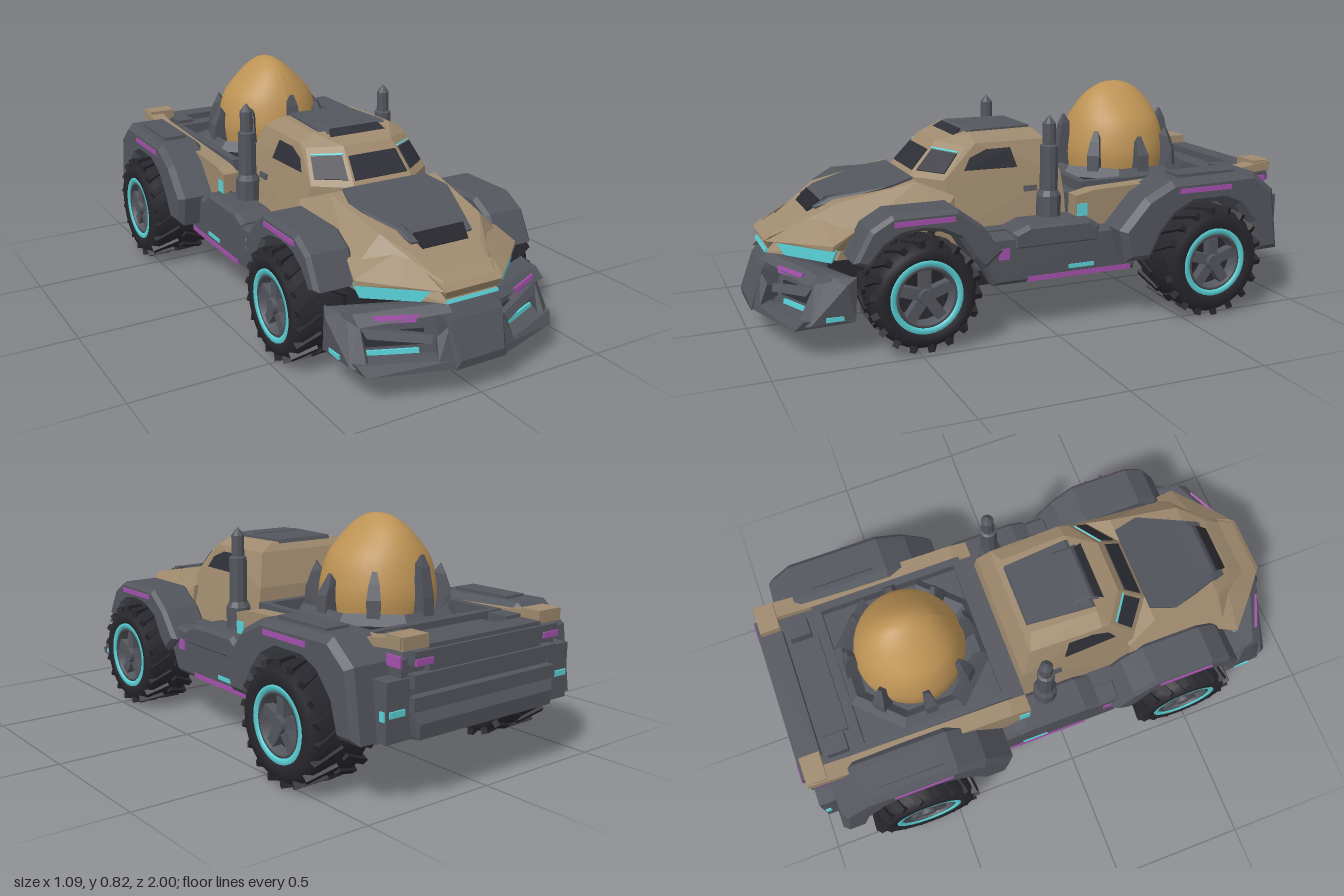
import * as THREE from 'three';
import { ConvexGeometry } from 'three/addons/geometries/ConvexGeometry.js';

const paint = (name, color) => Object.assign(new THREE.MeshStandardMaterial({ color }), { name });

export function createModel() {
  const tan = paint('desert tan', 0x9f8a6e), grey = paint('armour grey', 0x54565e);
  const dark = paint('dark glass', 0x2f2f38), rubber = paint('tyre black', 0x28272d);
  const cyan = paint('cyan light', 0x5ad2d8), purple = paint('purple trim', 0xa450ac);
  const gold = paint('golden dome', 0xbd9355);
  const model = new THREE.Group();
  model.name = 'armouredTruck';

  const add = (name, geo, mat, parent = model) => {
    const m = new THREE.Mesh(geo, mat);
    m.name = name;
    parent.add(m);
    return m;
  };
  const V = p => new THREE.Vector3(...p);
  const flip = (pts, s) => pts.map(([x, y, z]) => [x * s, y, z]);
  const hull = (name, mat, pts) => add(name, new ConvexGeometry(pts.map(V)), mat);
  // one solid across the centre line, from its left-hand points
  const centre = (name, mat, pts) => hull(name, mat, [...pts, ...flip(pts, -1)]);
  // a left and a right copy
  const pair = (name, mat, pts) => [1, -1].forEach(s => hull(name, mat, flip(pts, s)));
  // thin plate centred on a polygon
  const thin = pts => {
    const [a, b, c] = pts.map(V);
    const n = b.sub(a).cross(c.sub(a)).setLength(0.0045).toArray();
    return [1, -1].flatMap(k => pts.map(p => p.map((v, i) => v + n[i] * k)));
  };
  const plate = (name, mat, pts) => hull(name, mat, thin(pts));
  const plates = (name, mat, pts) => pair(name, mat, thin(pts));
  const box = (name, mat, x0, x1, y0, y1, z0, z1) => {
    const g = new THREE.BoxGeometry(x1 - x0, y1 - y0, z1 - z0);
    return add(name, g.translate((x0 + x1) / 2, (y0 + y1) / 2, (z0 + z1) / 2), mat);
  };
  const boxes = (name, mat, x0, x1, ...r) => {
    box(name, mat, x0, x1, ...r);
    box(name, mat, -x1, -x0, ...r);
  };
  // side profile of [z, y] points, swept from x0 to x1 on both sides
  const profiles = (name, mat, pts, x0, x1, bevel = 0) => {
    const shape = new THREE.Shape(pts.map(p => new THREE.Vector2(...p)));
    [x1, -x0].forEach(x => {
      const g = new THREE.ExtrudeGeometry(shape, {
        depth: x1 - x0, bevelEnabled: bevel > 0, bevelSize: bevel, bevelThickness: bevel, bevelSegments: 1,
      });
      add(name, g.rotateY(-Math.PI / 2).translate(x, 0, 0), mat);
    });
  };
  const mix = (a, b, t) => a.map((v, i) => v + (b[i] - v) * t);

  // underbody and lower body
  box('underbody', rubber, -0.28, 0.28, 0.16, 0.34, -0.62, 0.72);
  box('floorPan', rubber, -0.35, 0.35, 0.168, 0.22, -0.36, 0.25);
  box('lowerBody', grey, -0.34, 0.34, 0.19, 0.36, -0.38, 0.26);
  box('rearBelly', grey, -0.28, 0.28, 0.19, 0.34, -0.9, -0.6);

  // hood and nose
  centre('hood', tan, [[0.22, 0.53, 0.42], [0.2, 0.475, 0.7], [0.13, 0.42, 0.8], [0.1, 0.355, 0.9],
    [0.1, 0.3, 0.93], [0.29, 0.3, 0.73], [0.3, 0.37, 0.7], [0.3, 0.43, 0.35], [0.27, 0.48, 0.3], [0.3, 0.3, 0.3]]);
  centre('hoodPanel', grey, [[0.17, 0.538, 0.42], [0.2, 0.518, 0.52], [0.13, 0.481, 0.71], [0.12, 0.45, 0.765],
    [0.17, 0.5, 0.42], [0.12, 0.43, 0.75]]);
  centre('hoodScoop', grey, [[0.11, 0.5, 0.6], [0.11, 0.484, 0.72], [0.09, 0.42, 0.79], [0.11, 0.43, 0.6]]);
  plate('scoopOpening', rubber, [[-0.1, 0.47, 0.739], [0.1, 0.47, 0.739], [0.09, 0.43, 0.783], [-0.09, 0.43, 0.783]]);
  centre('noseBrow', tan, [[0.13, 0.385, 0.86], [0.12, 0.36, 0.92], [0.11, 0.345, 0.94], [0.1, 0.315, 0.925]]);
  pair('headlightBrow', tan, [[0.1, 0.37, 0.905], [0.11, 0.345, 0.938], [0.2, 0.352, 0.862], [0.325, 0.36, 0.748],
    [0.325, 0.343, 0.75], [0.17, 0.43, 0.76], [0.3, 0.4, 0.66], [0.28, 0.33, 0.68]]);

  // cab with three-part windscreen
  const top = [0.1, 0.65, 0.31], base = [0.12, 0.53, 0.42], topOut = [0.21, 0.64, 0.235], baseOut = [0.24, 0.53, 0.327];
  centre('cab', tan, [top, base, topOut, baseOut, [0.16, 0.68, 0.2], [0.215, 0.65, 0.2], [0.15, 0.68, -0.05],
    [0.21, 0.65, -0.075], [0.25, 0.53, -0.12], [0.28, 0.35, -0.14], [0.28, 0.35, 0.3]]);
  const pane = (a, b, c, d, u0, u1, v0, v1) => [[u0, v0], [u1, v0], [u1, v1], [u0, v1]]
    .map(([u, v]) => mix(mix(a, b, u), mix(c, d, u), v));
  const [topR, baseR] = flip([top, base], -1);
  plate('windscreen', dark, pane(topR, top, baseR, base, 0.04, 0.96, 0.26, 0.84));
  plates('windscreenSide', dark, pane(top, topOut, base, baseOut, 0.1, 0.9, 0.24, 0.82));
  plates('windscreenTrim', cyan, pane(top, topOut, base, baseOut, 0.05, 0.9, 0.18, 0.22));
  plates('sideWindow', dark, [[0.242, 0.558, 0.05], [0.234, 0.558, 0.25], [0.214, 0.625, 0.21], [0.222, 0.628, 0.07]]);
  plates('doorHandle', grey, [[0.264, 0.47, -0.02], [0.264, 0.47, 0.03], [0.259, 0.49, 0.03], [0.259, 0.49, -0.02]]);
  centre('roofPanel', grey, [[0.12, 0.688, -0.05], [0.14, 0.686, 0.19], [0.12, 0.66, -0.06], [0.14, 0.65, 0.26]]);
  centre('roofLightBar', grey, [[0.13, 0.655, 0.25], [0.13, 0.67, 0.12], [0.1, 0.692, 0.2], [0.1, 0.692, 0.13]]);
  plate('roofLightSlot', dark, [[0.1, 0.685, 0.213], [-0.1, 0.685, 0.213], [-0.115, 0.664, 0.244], [0.115, 0.664, 0.244]]);

  // front bumper: centre ram, side pockets, lips and outer fins
  centre('bumperRam', grey, [[0.1, 0.305, 0.915], [0.11, 0.25, 0.95], [0.085, 0.13, 1], [0.1, 0.1, 0.995], [0.1, 0.1, 0.7], [0.1, 0.3, 0.7]]);
  pair('bumperPocket', grey, [[0.08, 0.12, 0.92], [0.08, 0.29, 0.89], [0.37, 0.12, 0.8], [0.36, 0.27, 0.78], [0.08, 0.12, 0.68], [0.36, 0.25, 0.68]]);
  pair('bumperLip', grey, [[0.09, 0.1, 0.99], [0.09, 0.13, 0.985], [0.37, 0.1, 0.9], [0.39, 0.135, 0.87], [0.41, 0.12, 0.7], [0.41, 0.14, 0.7], [0.09, 0.1, 0.68]]);
  pair('bumperFin', grey, [[0.36, 0.11, 0.89], [0.4, 0.12, 0.85], [0.42, 0.25, 0.73], [0.41, 0.13, 0.7], [0.37, 0.28, 0.78], [0.4, 0.27, 0.69], [0.35, 0.25, 0.82], [0.34, 0.12, 0.87]]);
  pair('bumperShelf', grey, [[0.09, 0.3, 0.92], [0.09, 0.278, 0.95], [0.37, 0.28, 0.81], [0.37, 0.25, 0.85], [0.4, 0.27, 0.7], [0.09, 0.26, 0.8]]);
  pair('bumperStrut', grey, [[0.1, 0.24, 0.955], [0.14, 0.2, 0.94], [0.15, 0.13, 0.97], [0.09, 0.13, 0.985], [0.1, 0.15, 0.88]]);
  pair('pocketVane', grey, [[0.14, 0.2, 0.92], [0.35, 0.235, 0.83], [0.34, 0.205, 0.85], [0.15, 0.175, 0.93], [0.2, 0.2, 0.8]]);
  plates('pocketShadow', dark, [[0.15, 0.16, 0.89], [0.34, 0.16, 0.811], [0.34, 0.21, 0.806], [0.15, 0.21, 0.884]]);
  plates('headlight', cyan, [[0.135, 0.346, 0.901], [0.16, 0.303, 0.879], [0.305, 0.298, 0.75], [0.322, 0.346, 0.735]]);
  plates('purpleMarker', purple, [[0.19, 0.277, 0.908], [0.32, 0.277, 0.848], [0.31, 0.255, 0.859], [0.2, 0.255, 0.908]]);
  plates('fogLight', cyan, [[0.17, 0.15, 0.889], [0.35, 0.15, 0.814], [0.35, 0.134, 0.816], [0.17, 0.134, 0.891]]);
  boxes('finLight', cyan, 0.404, 0.412, 0.13, 0.145, 0.74, 0.8);
  plate('noseLight', cyan, [[-0.1, 0.312, 0.93], [0.1, 0.312, 0.93], [0.1, 0.301, 0.934], [-0.1, 0.301, 0.934]]);

  // wheel arches with purple edge trim
  profiles('frontFender', grey, [[0.2, 0.31], [0.27, 0.4], [0.35, 0.46], [0.57, 0.46], [0.64, 0.42], [0.69, 0.33],
    [0.66, 0.32], [0.61, 0.38], [0.55, 0.415], [0.475, 0.425], [0.4, 0.415], [0.33, 0.38], [0.28, 0.3], [0.25, 0.27]], 0.29, 0.425, 0.014);
  boxes('frontFenderTrim', purple, 0.436, 0.444, 0.435, 0.452, 0.36, 0.57);
  profiles('rearFender', grey, [[-0.27, 0.34], [-0.36, 0.44], [-0.46, 0.49], [-0.8, 0.495], [-0.88, 0.43], [-0.91, 0.23],
    [-0.85, 0.23], [-0.82, 0.33], [-0.75, 0.41], [-0.68, 0.44], [-0.54, 0.44], [-0.46, 0.4], [-0.4, 0.33], [-0.36, 0.25], [-0.29, 0.25]], 0.34, 0.475, 0.022);
  boxes('rearFenderTrim', purple, 0.493, 0.501, 0.465, 0.483, -0.7, -0.48);
  boxes('fenderCap', grey, 0.36, 0.45, 0.5, 0.525, -0.74, -0.5);

  // side sills, tanks and exhaust stacks
  profiles('sill', grey, [[-0.34, 0.19], [-0.36, 0.33], [0.2, 0.34], [0.24, 0.27], [0.2, 0.19]], 0.32, 0.395, 0.015);
  boxes('sillTrim', purple, 0.405, 0.413, 0.18, 0.198, -0.33, 0.08);
  boxes('sillMarker', purple, 0.405, 0.413, 0.27, 0.31, 0.15, 0.19);
  boxes('sillLamp', cyan, 0.405, 0.413, 0.21, 0.225, -0.18, -0.08);
  profiles('sideTank', grey, [[-0.19, 0.31], [-0.19, 0.35], [-0.16, 0.37], [0.07, 0.37], [0.12, 0.35], [0.12, 0.31]], 0.29, 0.4, 0.015);
  boxes('railLight', cyan, 0.358, 0.366, 0.385, 0.43, -0.175, -0.135);
  for (const s of [1, -1]) {
    const stack = new THREE.LatheGeometry([[0.045, 0.36], [0.045, 0.46], [0.033, 0.48], [0.033, 0.64], [0.024, 0.645], [0.024, 0.72], [0, 0.75]]
      .map(p => new THREE.Vector2(...p)), 10).toNonIndexed();
    stack.computeVertexNormals();
    add('exhaustStack', stack.translate(s * 0.3, 0, -0.05), grey);
  }

  // rear bed, tan rails and tailgate
  box('bedBody', grey, -0.345, 0.345, 0.27, 0.455, -0.96, -0.13);
  profiles('bedRail', tan, [[-0.13, 0.34], [-0.13, 0.46], [-0.2, 0.475], [-0.8, 0.5], [-0.97, 0.525], [-0.97, 0.49], [-0.42, 0.44], [-0.33, 0.34]], 0.3, 0.362);
  boxes('railEnd', tan, 0.25, 0.355, 0.485, 0.527, -0.975, -0.9);
  box('tailgate', grey, -0.25, 0.25, 0.4, 0.495, -0.98, -0.9);
  [0.32, 0.39, 0.46].forEach(y => box('tailgateRib', grey, -0.32, 0.32, y - 0.022, y + 0.022, -0.992, -0.94));
  centre('rearBumper', grey, [[0.32, 0.3, -0.98], [0.3, 0.21, -0.995], [0.36, 0.3, -0.85], [0.32, 0.2, -0.82], [0.3, 0.26, -1], [0.28, 0.22, -0.7], [0.28, 0.28, -0.7]]);
  boxes('rearStep', grey, 0.31, 0.41, 0.21, 0.4, -0.97, -0.88);
  boxes('tailLight', cyan, 0.34, 0.4, 0.29, 0.31, -0.976, -0.968);
  boxes('tailMarker', purple, 0.25, 0.32, 0.44, 0.46, -0.998, -0.99);
  boxes('sideMarker', purple, 0.343, 0.351, 0.43, 0.465, -0.96, -0.9);
  boxes('cornerLight', cyan, 0.408, 0.416, 0.28, 0.31, -0.965, -0.945);
  box('bedLocker', grey, -0.19, 0.19, 0.44, 0.475, -0.88, -0.78);
  boxes('bedLatch', grey, 0.2, 0.27, 0.44, 0.5, -0.88, -0.8);
  boxes('frameSide', grey, 0.27, 0.3, 0.44, 0.495, -0.77, -0.18);
  [-0.77, -0.21].forEach(z => box('frameEnd', grey, -0.3, 0.3, 0.44, 0.495, z, z + 0.03));

  // dome in its octagonal cradle with eight claws
  const cradle = new THREE.TorusGeometry(0.26, 0.035, 4, 8).toNonIndexed();
  cradle.computeVertexNormals();
  add('domeCradle', cradle.rotateZ(Math.PI / 8).rotateX(Math.PI / 2).translate(0, 0.48, -0.47), grey);
  const egg = new THREE.SplineCurve([[0.19, 0.44], [0.205, 0.53], [0.2, 0.6], [0.172, 0.69], [0.12, 0.77], [0.055, 0.812], [0, 0.82]]
    .map(p => new THREE.Vector2(...p))).getPoints(18);
  egg[18].x = 0;
  const dome = new THREE.LatheGeometry(egg, 32), dp = dome.attributes.position;
  for (let i = 0; i < dp.count; i++) { // the crown narrows sideways into a ridge
    const t = Math.max(0, dp.getY(i) - 0.68) / 0.14;
    dp.setX(i, dp.getX(i) * (1 - 0.4 * t));
  }
  dome.computeVertexNormals();
  add('dome', dome.translate(0, 0, -0.47), gold);
  for (let i = 0; i < 8; i++) {
    const h = i % 4 === 0 ? 0.7 : i % 2 ? 0.65 : 0.63;
    const pts = [-1, 1].flatMap(k => [[0.021 * k, 0.47, 0.2], [0.021 * k, 0.47, 0.255], [0.024 * k, 0.56, 0.25],
      [0.018 * k, h - 0.04, 0.232], [0.008 * k, h, 0.215], [0.012 * k, h - 0.03, 0.195]]);
    const claw = add('domeClaw', new ConvexGeometry(pts.map(V)), grey);
    claw.rotation.y = i * Math.PI / 4;
    claw.position.z = -0.47;
  }

  // wheels: tyre, staggered lugs, cyan ring, five-spoke rim
  const makeWheel = (x, z, r, w, s) => {
    const g = new THREE.Group(), h = w / 2;
    g.name = 'wheel';
    const spin = geo => geo.rotateZ(-Math.PI / 2);
    const lathe = pts => spin(new THREE.LatheGeometry(pts.map(p => new THREE.Vector2(...p)), 36));
    add('tyre', lathe([[0, -h + 0.03], [0.1, -h + 0.02], [0.13, -h], [r - 0.03, -h], [r - 0.01, -h + 0.03], [r - 0.01, h - 0.03],
      [r - 0.03, h], [0.13, h], [0.12, h - 0.02], [0.115, h - 0.05], [0, h - 0.05]]), rubber, g);
    for (let i = 0; i < 36; i++) {
      const side = i % 2 ? 1 : -1;
      const lug = new THREE.BoxGeometry(h * 0.95, 0.025, 0.022).rotateY(side * 0.45);
      lug.translate(side * h * 0.5, r - 0.0125, 0).rotateX(i * Math.PI / 18);
      add('treadLug', lug, rubber, g);
    }
    add('rimRing', lathe([[0.128, h - 0.01], [0.127, h - 0.001], [0.108, h - 0.002], [0.106, h - 0.02]]), cyan, g);
    add('rimBarrel', lathe([[0.107, h - 0.048], [0.107, h - 0.006], [0.096, h - 0.006], [0.09, h - 0.048]]), grey, g);
    for (let i = 0; i < 5; i++) {
      const spoke = new THREE.BoxGeometry(0.035, 0.085, 0.038).translate(h - 0.032, 0.06, 0);
      add('spoke', spoke.rotateX(i * Math.PI * 0.4), grey, g);
    }
    add('hubCap', spin(new THREE.CylinderGeometry(0.028, 0.036, 0.05, 10)).translate(h - 0.025, 0, 0), grey, g);
    g.position.set(s * x, r, z);
    if (s < 0) g.rotation.y = Math.PI;
    model.add(g);
  };
  for (const s of [1, -1]) {
    makeWheel(0.382, 0.475, 0.195, 0.2, s);
    makeWheel(0.425, -0.612, 0.205, 0.235, s);
  }
  [0.475, -0.612].forEach(z => {
    add('axle', new THREE.CylinderGeometry(0.04, 0.04, 0.7, 10).rotateZ(Math.PI / 2).translate(0, 0.2, z), rubber);
  });
  return model;
}
